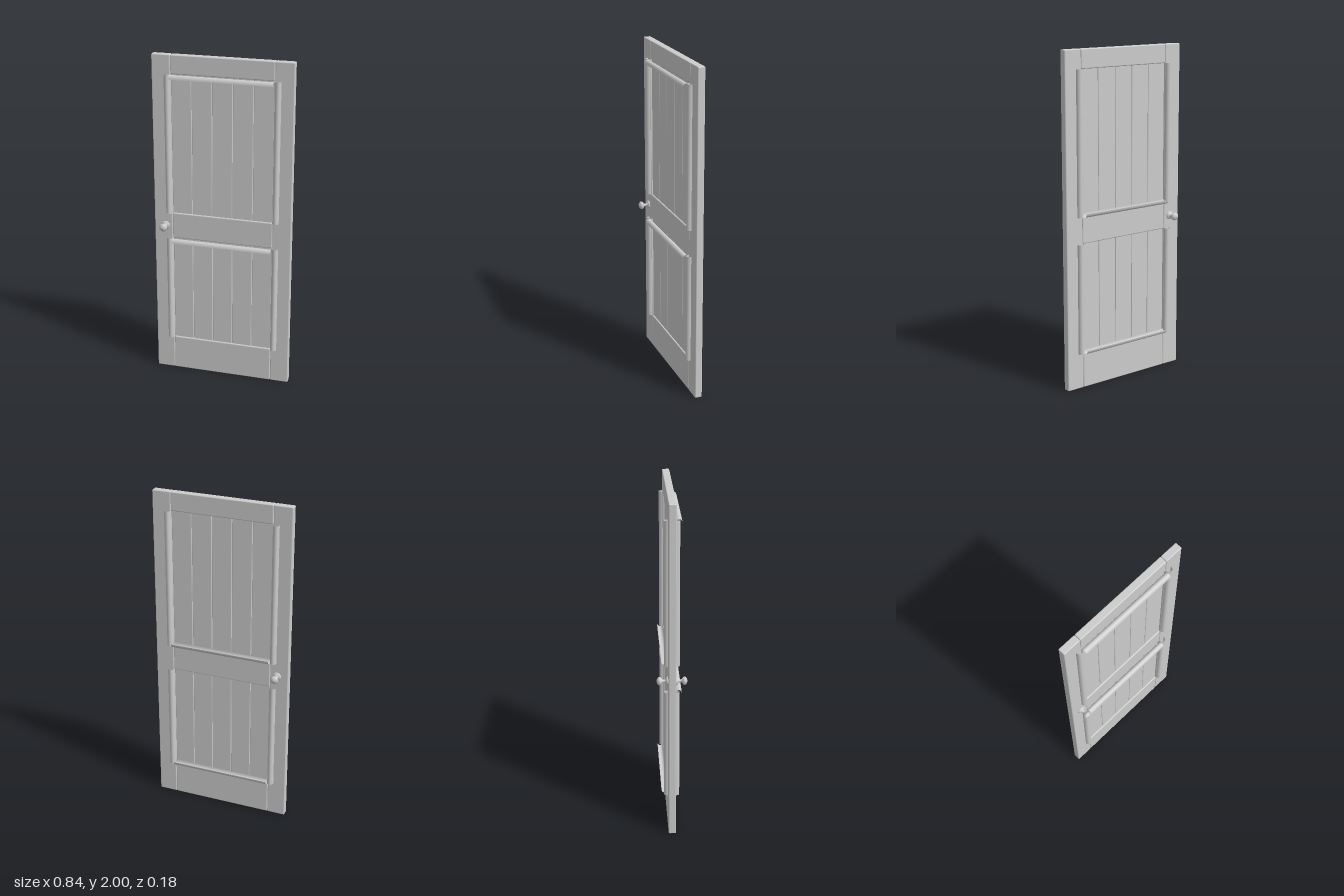
import * as THREE from 'three';
import { RoundedBoxGeometry } from 'three/addons/geometries/RoundedBoxGeometry.js';

const grey = new THREE.MeshStandardMaterial({ color: 0xcccccc });
const thin = new THREE.MeshStandardMaterial({ color: 0xcccccc, side: THREE.DoubleSide });

// Softly edged board given by its x and y limits and its depth
function board(name, x0, x1, y0, y1, depth, radius) {
  const mesh = new THREE.Mesh(new RoundedBoxGeometry(x1 - x0, y1 - y0, depth, 2, radius), grey);
  mesh.position.set((x0 + x1) / 2, (y0 + y1) / 2, 0);
  mesh.name = name;
  return mesh;
}

// Thin arched moulding: width along x, arch along y, length along z
function mouldingGeometry(length) {
  const steps = 10, positions = [], index = [];
  for (let i = 0; i <= steps; i++) {
    const a = Math.PI * (1 - i / steps);
    const x = 0.019 + 0.019 * Math.cos(a), y = 0.023 * Math.sin(a);
    positions.push(x, y, -length / 2, x, y, length / 2);
    if (i < steps) {
      const k = 2 * i;
      index.push(k, k + 1, k + 2, k + 1, k + 3, k + 2);
    }
  }
  const geometry = new THREE.BufferGeometry();
  geometry.setAttribute('position', new THREE.Float32BufferAttribute(positions, 3));
  geometry.setIndex(index);
  geometry.computeVertexNormals();
  return geometry;
}

export function createModel() {
  const door = new THREE.Group();
  door.name = 'door';

  // Frame
  const depth = 0.044, inner = 0.307;
  door.add(board('rightStile', -0.42, -inner - 0.001, 0, 2, depth, 0.006));
  door.add(board('leftStile', inner + 0.001, 0.42, 0, 2, depth, 0.006));
  door.add(board('bottomRail', -inner, inner, 0, 0.215, depth, 0.006));
  door.add(board('middleRail', -inner, inner, 0.882, 1.042, depth, 0.006));
  door.add(board('topRail', -inner, inner, 1.888, 2, depth, 0.006));

  // Planked panels with their mouldings
  for (const [label, y0, y1] of [['lower', 0.215, 0.882], ['upper', 1.042, 1.888]]) {
    const panel = new THREE.Group();
    panel.name = label + 'Panel';
    const w = 2 * inner / 5;
    for (let i = 0; i < 5; i++) {
      const x = -inner + i * w;
      panel.add(board('plank', x + 0.0008, x + w - 0.0008, y0 - 0.004, y1 + 0.004, 0.026, 0.004));
    }

    // Upright mouldings on both faces of both stiles
    const upright = mouldingGeometry(y1 - y0);
    for (const face of [1, -1]) for (const side of [1, -1]) {
      const m = new THREE.Mesh(upright, thin);
      m.name = 'uprightMoulding';
      m.rotation.x = face * Math.PI / 2;
      m.position.set(side > 0 ? inner : -inner - 0.038, (y0 + y1) / 2, face * 0.022);
      panel.add(m);
    }

    // Level mouldings: top edge in front, bottom edge behind
    const level = mouldingGeometry(2 * inner);
    for (const face of [1, -1]) {
      const holder = new THREE.Group();
      holder.name = face > 0 ? 'frontMoulding' : 'backMoulding';
      const m = new THREE.Mesh(level, thin);
      m.name = 'levelMoulding';
      m.rotation.y = -Math.PI / 2;
      m.position.set(0, -0.023, 0.022);
      holder.add(m);
      holder.position.y = face > 0 ? y1 : y0;
      holder.rotation.x = face > 0 ? 0 : Math.PI;
      panel.add(holder);
    }
    door.add(panel);
  }

  // Knobs with rosette and stem
  const profile = [
    [0.026, 0.018], [0.026, 0.028], [0.02, 0.033], [0.011, 0.035], [0.008, 0.045],
    [0.01, 0.055], [0.018, 0.06], [0.025, 0.068], [0.023, 0.077], [0.014, 0.085], [0, 0.088],
  ].map(([r, h]) => new THREE.Vector2(r, h));
  const knobGeometry = new THREE.LatheGeometry(profile, 12);
  for (const face of [1, -1]) {
    const knob = new THREE.Mesh(knobGeometry, grey);
    knob.name = face > 0 ? 'frontKnob' : 'backKnob';
    knob.rotation.x = face * Math.PI / 2;
    knob.position.set(-0.351, 0.96, 0);
    door.add(knob);
  }
  return door;
}
